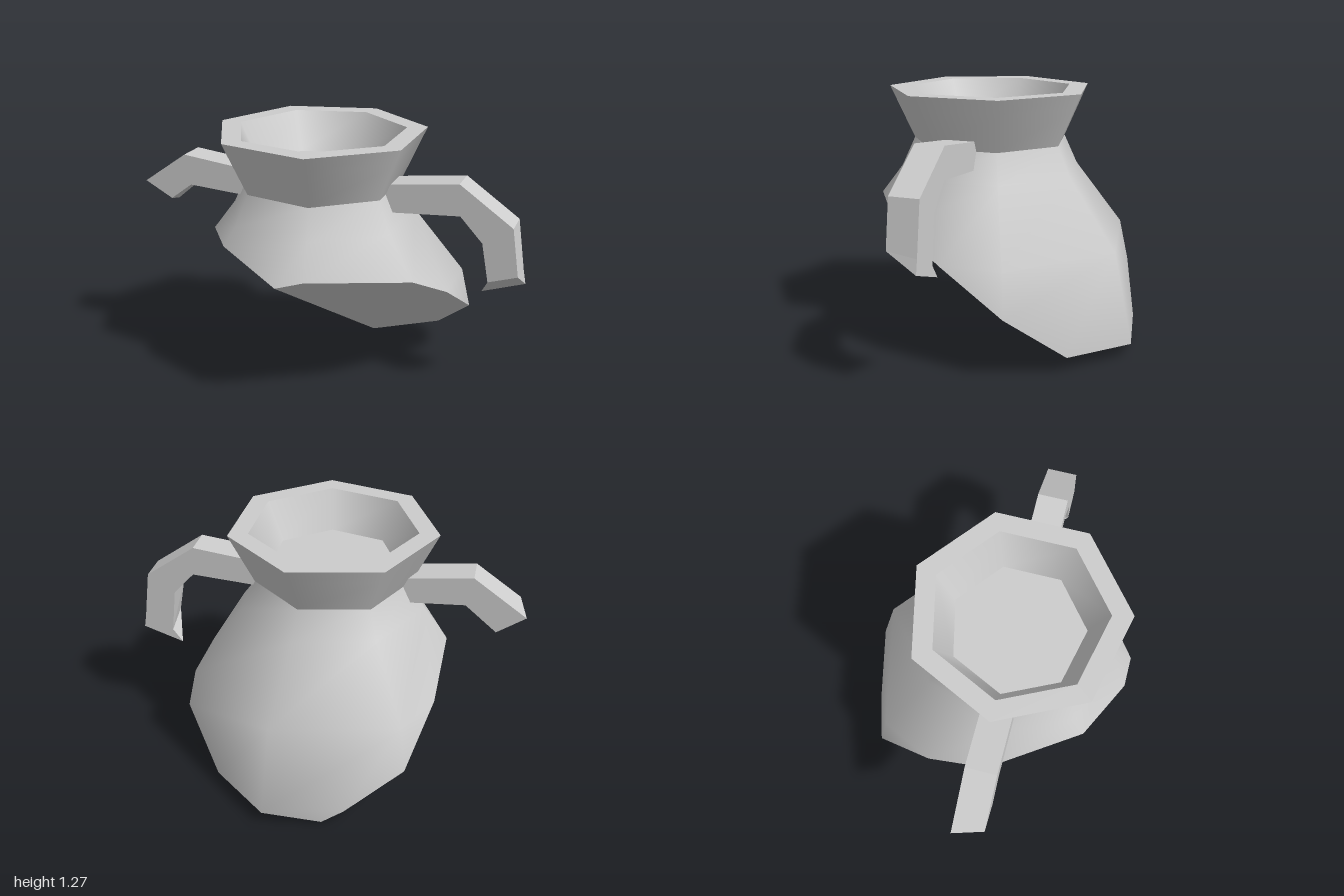
import * as THREE from 'three';

const clay = new THREE.MeshStandardMaterial({ color: 0xcccccc });
clay.name = 'grey clay';

const SIDES = 7, CX = -0.023, CZ = 0.12;
const V = (x, y, z) => new THREE.Vector3(x, y, z);

// Mesh from convex polygons; corners are { p, n }, with a flat normal where n is missing
function polygonMesh(name, polygons) {
  const pos = [], nor = [];
  for (const poly of polygons) {
    for (let i = 1; i < poly.length - 1; i++) {
      const tri = [poly[0], poly[i], poly[i + 1]];
      const flat = tri[1].p.clone().sub(tri[0].p).cross(tri[2].p.clone().sub(tri[0].p));
      if (flat.length() < 1e-9) continue;
      flat.normalize();
      for (const c of tri) {
        pos.push(...c.p.toArray());
        nor.push(...(c.n || flat).toArray());
      }
    }
  }
  const g = new THREE.BufferGeometry();
  g.setAttribute('position', new THREE.Float32BufferAttribute(pos, 3));
  g.setAttribute('normal', new THREE.Float32BufferAttribute(nor, 3));
  const mesh = new THREE.Mesh(g, clay);
  mesh.name = name;
  return mesh;
}

// Seven-sided turned wall with smooth normals, profile as [radius, y]
function turnedPolygons(profile) {
  const seg = profile.slice(1).map(([r, y], i) =>
    new THREE.Vector2(profile[i][1] - y, r - profile[i][0]).normalize());
  const slopes = profile.map((_, i) =>
    (seg[i - 1] || seg[i]).clone().add(seg[i] || seg[i - 1]).normalize());
  const corner = (i, k) => {
    const a = Math.PI + (k / SIDES) * Math.PI * 2, c = Math.cos(a), s = Math.sin(a);
    const [r, y] = profile[i];
    return { p: V(CX + r * c, y, CZ + r * s), n: V(slopes[i].x * c, slopes[i].y, slopes[i].x * s) };
  };
  const out = [];
  for (let i = 0; i < profile.length - 1; i++)
    for (let k = 0; k < SIDES; k++)
      out.push([corner(i, k), corner(i, k + 1), corner(i + 1, k + 1), corner(i + 1, k)]);
  return out;
}

// Keep the part of a polygon on the positive side of a plane
function clip(poly, plane) {
  const out = [];
  poly.forEach((a, i) => {
    const b = poly[(i + 1) % poly.length];
    const da = plane.distanceToPoint(a.p), db = plane.distanceToPoint(b.p);
    if (da >= 0) out.push(a);
    if ((da > 0 && db < 0) || (da < 0 && db > 0)) {
      const t = da / (da - db);
      out.push({ p: a.p.clone().lerp(b.p, t), n: a.n.clone().lerp(b.n, t).normalize() });
    }
  });
  return out;
}

// Flat face closing the body along a cutting plane
function cutFace(wall, plane, apex) {
  const pts = [apex];
  for (const poly of wall) for (const { p } of poly)
    if (Math.abs(plane.distanceToPoint(p)) < 1e-5 && !pts.some(q => q.distanceTo(p) < 1e-4)) pts.push(p);
  const mid = V(0, 0, 0);
  pts.forEach(p => mid.addScaledVector(p, 1 / pts.length));
  const n = plane.normal.clone().negate();
  const u = apex.clone().sub(mid).normalize(), v = n.clone().cross(u);
  const angle = p => Math.atan2(p.clone().sub(mid).dot(v), p.clone().sub(mid).dot(u));
  pts.sort((a, b) => angle(a) - angle(b));
  return pts.map((p, i) => [{ p: mid }, { p }, { p: pts[(i + 1) % pts.length] }]);
}

// Square-section handle; a station is [outer x, y, inner x, y], then the same for the back if it differs
function handle(name, side, stations) {
  const rings = stations.map(s => {
    const b = s.length > 4 ? s.slice(4) : s;
    return [V(side * s[0], s[1], 0.2), V(side * s[2], s[3], 0.2),
      V(side * b[2], b[3], 0.05), V(side * b[0], b[1], 0.05)].map(p => ({ p }));
  });
  const faces = [[...rings[0]].reverse(), rings[rings.length - 1]];
  for (let i = 0; i < rings.length - 1; i++)
    for (let j = 0; j < 4; j++) {
      const k = (j + 1) % 4;
      faces.push([rings[i][j], rings[i][k], rings[i + 1][k], rings[i + 1][j]]);
    }
  return polygonMesh(name, side > 0 ? faces : faces.map(f => [...f].reverse()));
}

export function createModel() {
  const model = new THREE.Group();
  model.name = 'brokenPot';

  // Mouth: floor, inner wall, lip and flared collar
  const mouth = [
    ['mouthFloor', [[0, 1.08], [0.33, 1.08]]],
    ['mouthWall', [[0.33, 1.08], [0.423, 1.275]]],
    ['lip', [[0.423, 1.275], [0.525, 1.275]]],
    ['collar', [[0.525, 1.275], [0.49, 1.2], [0.4, 1.01]]],
  ];
  for (const [name, profile] of mouth) model.add(polygonMesh(name, turnedPolygons(profile)));

  // Body, broken off along three planes that meet at one corner
  const apex = V(0.1, 0, -0.39), ridge = V(-0.03, 0.67, 0.69);
  const planes = [
    [ridge, V(-0.51, 0.3, -0.49)],
    [ridge, V(0.68, 0.31, -0.22)],
    [V(0.46, 0.08, -0.46), V(-0.13, 0.005, -0.62)],
  ].map(([a, b]) => {
    const plane = new THREE.Plane().setFromCoplanarPoints(apex, a, b);
    return plane.distanceToPoint(V(0, 0.7, 0)) < 0 ? plane.negate() : plane;
  });
  let wall = turnedPolygons([[0.4, 1.01], [0.47, 0.86], [0.73, 0.52], [0.83, 0.08], [0.82, -0.06]]);
  for (const plane of planes) wall = wall.map(p => clip(p, plane)).filter(p => p.length > 2);
  model.add(polygonMesh('body', wall));
  ['rightBreak', 'leftBreak', 'bottomBreak'].forEach((name, i) =>
    model.add(polygonMesh(name, cutFace(wall, planes[i], apex))));

  // Handles, each snapped off at a slant
  model.add(handle('leftHandle', 1, [
    [0.3, 1.055, 0.3, 0.92],
    [0.69, 1.1, 0.7, 0.945],
    [0.95, 0.915, 0.81, 0.825],
    [0.985, 0.68, 0.845, 0.635, 0.987, 0.66, 0.84, 0.59],
    [0.985, 0.68, 0.845, 0.635, 1.0, 0.59, 0.79, 0.52],
  ]));
  model.add(handle('rightHandle', -1, [
    [0.36, 1.055, 0.36, 0.92],
    [0.73, 1.1, 0.7, 0.945],
    [0.96, 0.94, 0.815, 0.86, 1.0, 0.91, 0.86, 0.81],
  ]));
  return model;
}
